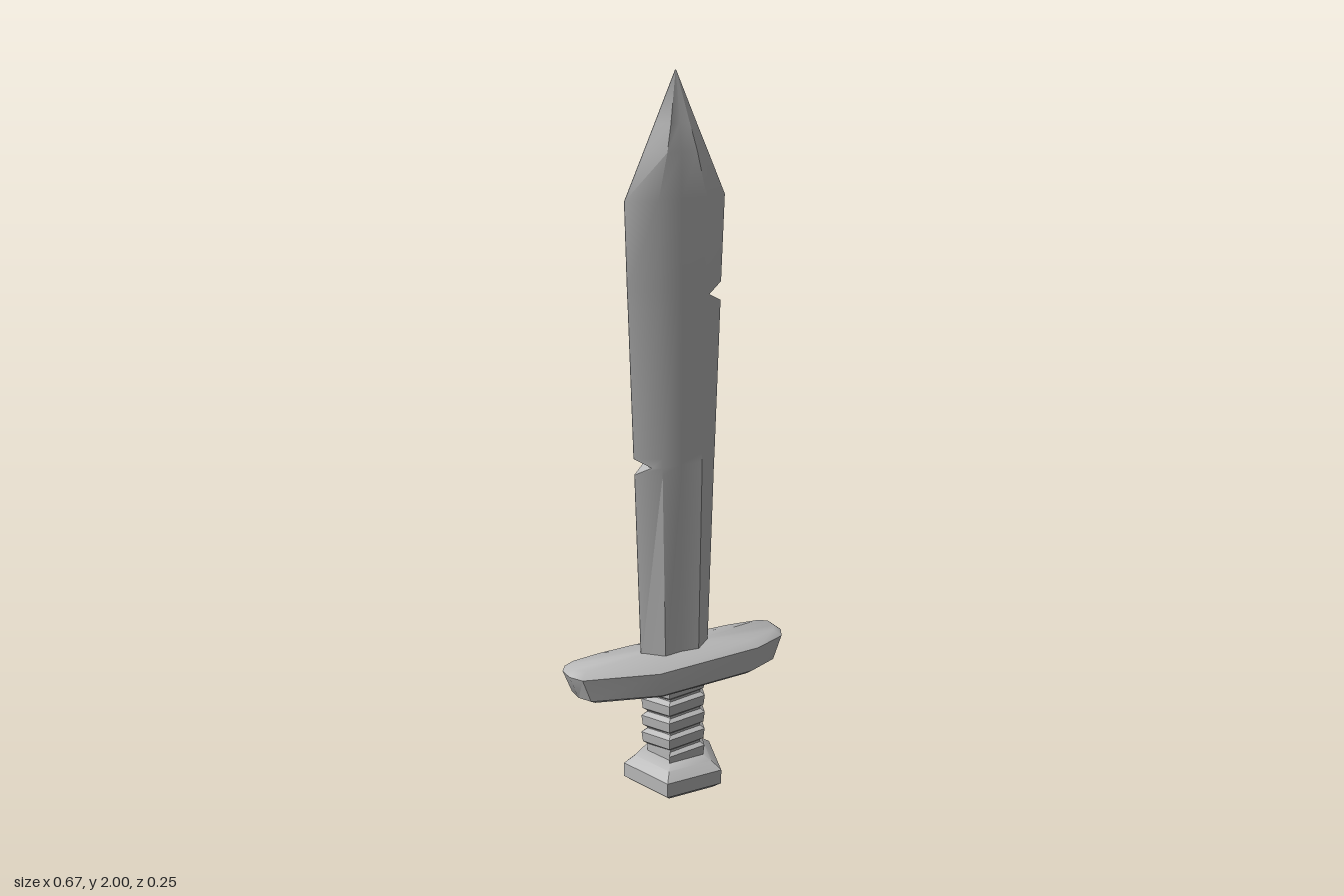
import * as THREE from 'three';
import { toCreasedNormals } from 'three/addons/utils/BufferGeometryUtils.js';

const steel = new THREE.MeshStandardMaterial({ color: 0xb8b8b8 });
steel.name = 'grey steel';

// Skin a stack of equal-length rings of [x, y, z]; rings run left to right along the front
function loft(rings, { closed = true, crease = 0.6 } = {}) {
  const n = rings[0].length;
  const pos = rings.flat(2);
  const index = [];
  const spans = closed ? n : n - 1;
  for (let i = 0; i < rings.length - 1; i++) {
    for (let j = 0; j < spans; j++) {
      const k = (j + 1) % n;
      const a = i * n + j, b = i * n + k, c = b + n, d = a + n;
      index.push(a, b, c, a, c, d);
    }
  }
  if (closed) {
    [0, rings.length - 1].forEach((r, top) => {
      const centre = pos.length / 3;
      for (let axis = 0; axis < 3; axis++) {
        pos.push(rings[r].reduce((sum, p) => sum + p[axis], 0) / n);
      }
      for (let j = 0; j < n; j++) {
        const a = r * n + j, b = r * n + (j + 1) % n;
        if (top) index.push(centre, a, b);
        else index.push(centre, b, a);
      }
    });
  }
  const geo = new THREE.BufferGeometry();
  geo.setAttribute('position', new THREE.Float32BufferAttribute(pos, 3));
  geo.setIndex(index);
  return toCreasedNormals(geo, crease);
}

function part(name, geo) {
  const mesh = new THREE.Mesh(geo, steel);
  mesh.name = name;
  return mesh;
}

// Bevelled blade section: left edge, right edge, flat half width, half depth,
// and the half thickness left at each edge (large inside a nick)
function bladeRing([y, left, right, flat, depth, tl = 0.001, tr = 0.001]) {
  const z0 = 0.005, groove = depth * 0.86;
  return [
    [left, tl], [-flat, depth], [0, groove], [flat, depth], [right, tr],
    [right, -tr], [flat, -depth], [0, -groove], [-flat, -depth], [left, -tl],
  ].map(([x, z]) => [x, y, z + z0]);
}

function blade() {
  return part('blade', loft([
    [0.40, -0.108, 0.102, 0.052, 0.04],
    [0.95, -0.124, 0.119, 0.06, 0.04],
    [0.97, -0.085, 0.120, 0.06, 0.04, 0.025],
    [0.995, -0.126, 0.121, 0.06, 0.04],
    [1.40, -0.139, 0.135, 0.066, 0.04],
    [1.425, -0.140, 0.085, 0.066, 0.04, 0.001, 0.029],
    [1.45, -0.141, 0.136, 0.066, 0.04],
    [1.68, -0.147, 0.145, 0.07, 0.04],
    [1.80, -0.092, 0.091, 0.043, 0.037],
    [1.87, -0.06, 0.059, 0.027, 0.026],
    [2.00, -0.001, 0.001, 0.0005, 0.001],
  ].map(bladeRing), { crease: 0.65 }));
}

function guard() {
  // Slightly uneven outline in plan
  const plan = [
    [-0.335, 0.025], [-0.312, 0.06], [-0.1, 0.105], [0.22, 0.09], [0.315, 0.06], [0.335, 0.025],
    [0.335, -0.02], [0.315, -0.05], [0.22, -0.08], [-0.1, -0.097], [-0.22, -0.08], [-0.315, -0.05],
    [-0.335, -0.02],
  ];
  // Height, length scale, depth scale
  const layers = [[0.324, 0.87, 0.85], [0.334, 0.92, 0.97], [0.402, 1, 1], [0.418, 0.94, 0.72]];
  return part('crossGuard', loft(layers.map(([y, sx, sz]) =>
    plan.map(([x, z]) => [x * sx, y + 0.1 * x * x, z * sz])), { crease: 0.7 }));
}

// Five-sided ring with a flat front and a point at the back
function pentagon(y, r, squash = 1) {
  return Array.from({ length: 5 }, (_, k) => {
    const a = THREE.MathUtils.degToRad(-36 + 72 * k);
    return [r * Math.sin(a), y, r * Math.cos(a) * squash];
  });
}

function pommel() {
  return part('pommel', loft([
    pentagon(0, 0.098), pentagon(0.01, 0.12), pentagon(0.028, 0.146),
    pentagon(0.07, 0.146), pentagon(0.092, 0.115), pentagon(0.105, 0.085),
  ].map(ring => ring.map(([x, y, z]) => [x, y, z < -0.12 ? z * 0.87 : z * 1.02])), { crease: 0.7 }));
}

function grip() {
  const group = new THREE.Group();
  group.name = 'grip';
  group.add(part('gripCore', loft([pentagon(0.08, 0.079), pentagon(0.345, 0.079)])));

  // Binding wound up the handle in one helix
  const pitch = 0.052, steps = 23;
  const profile = [[-0.006, 0.074], [0.006, 0.092], [0.036, 0.096], [0.049, 0.074]];
  const rows = profile.map(([dy, r]) => Array.from({ length: steps }, (_, i) => {
    const a = THREE.MathUtils.degToRad(-36 + 72 * i);
    return [r * Math.sin(a), 0.088 + dy + pitch * i / 5, r * Math.cos(a) * 0.96];
  }));
  group.add(part('gripBinding', loft(rows, { closed: false, crease: 0.5 })));
  return group;
}

export function createModel() {
  const sword = new THREE.Group();
  sword.name = 'sword';
  sword.add(blade(), guard(), grip(), pommel());
  return sword;
}
